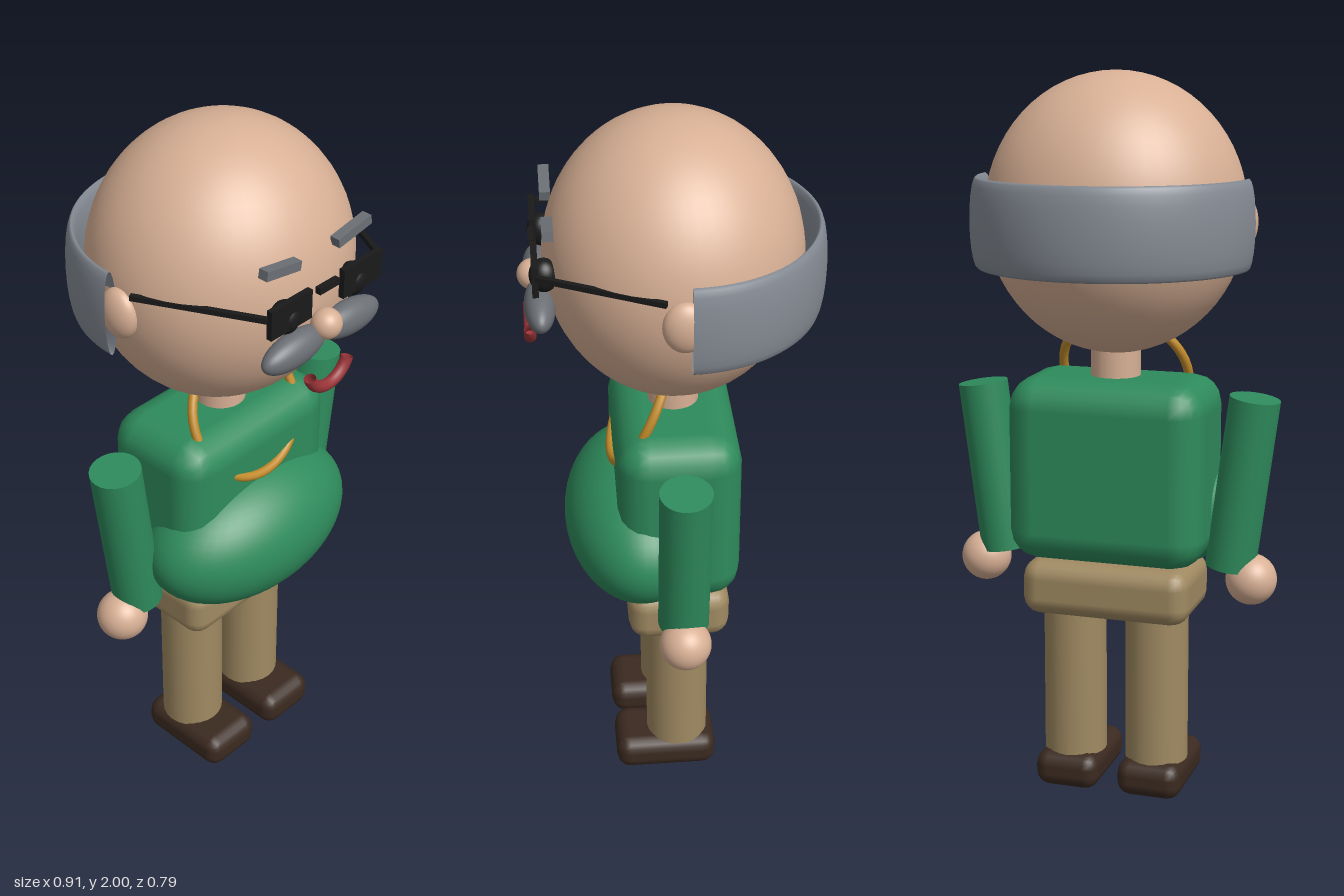
import * as THREE from 'three';
import { RoundedBoxGeometry } from 'three/addons/geometries/RoundedBoxGeometry.js';

const paint = (name, color, side = THREE.FrontSide) => {
  const m = new THREE.MeshStandardMaterial({ color, side });
  m.name = name;
  return m;
};

export function createModel() {
  const model = new THREE.Group();
  model.name = 'groundkeeperFigure';

  const skin = paint('skin', 0xd8b095);
  const green = paint('greenShirt', 0x2e8b5c);
  const khaki = paint('khakiTrousers', 0xa08a62);
  const brown = paint('brownShoes', 0x3b2a20);
  const hairGrey = paint('greyHair', 0x868c95, THREE.DoubleSide);
  const darkGrey = paint('darkGreyHair', 0x6b6f74);
  const black = paint('blackGlasses', 0x1a1a1a);
  const red = paint('redMouth', 0x9a3438, THREE.DoubleSide);
  const gold = paint('goldChain', 0xc08a2a);

  const add = (name, geometry, material, x, y, z, rotZ = 0) => {
    const mesh = new THREE.Mesh(geometry, material);
    mesh.name = name;
    mesh.position.set(x, y, z);
    mesh.rotation.z = rotZ;
    model.add(mesh);
    return mesh;
  };
  const ellipsoid = (rx, ry, rz) => new THREE.SphereGeometry(1, 48, 32).scale(rx, ry, rz);
  const box = (w, h, d) => new THREE.BoxGeometry(w, h, d);
  const rounded = (w, h, d, r) => new RoundedBoxGeometry(w, h, d, 2, r);
  const Z = -0.006;

  // Head, nose and neck
  add('head', ellipsoid(0.352, 0.373, 0.335), skin, 0, 1.627, Z);
  add('nose', ellipsoid(0.04, 0.04, 0.04), skin, 0, 1.58, 0.353);
  add('neck', new THREE.CylinderGeometry(0.068, 0.068, 0.16, 24), skin, 0, 1.24, Z);

  // Band of hair around the back of the head
  const hair = new THREE.TorusGeometry(0.365, 0.02, 20, 64, Math.PI);
  hair.rotateX(-Math.PI / 2).scale(1, 6, 0.975);
  add('hairBand', hair, hairGrey, 0, 1.607, -0.022);

  // Smiling mouth
  const smile = 2.5;
  const mouth = new THREE.TorusGeometry(0.073, 0.016, 12, 32, smile);
  mouth.rotateZ(-Math.PI / 2 - smile / 2);
  add('mouth', mouth, red, 0, 1.48, 0.366);

  // Torso, belly and hips
  add('torso', rounded(0.55, 0.51, 0.33, 0.085), green, 0, 0.935, Z);
  add('belly', ellipsoid(0.335, 0.201, 0.205), green, 0, 0.815, 0.092);
  add('hips', rounded(0.475, 0.155, 0.28, 0.05), khaki, 0, 0.6, Z);

  // Chain hanging round the neck, tilted forward
  const chain = add('neckChain', new THREE.TorusGeometry(0.18, 0.013, 12, 48), gold, 0, 1.185, 0.085);
  chain.rotation.x = -0.46;

  // Bridge of the glasses
  add('glassesBridge', box(0.07, 0.018, 0.016), black, 0, 1.688, 0.352);

  // Mirrored parts
  for (const [side, s] of [['left', 1], ['right', -1]]) {
    add(side + 'Ear', ellipsoid(0.036, 0.068, 0.057), skin, s * 0.35, 1.612, Z);
    add(side + 'Eyebrow', box(0.12, 0.025, 0.028), darkGrey, s * 0.127, 1.772, 0.312, s * 0.17);
    add(side + 'Eye', ellipsoid(0.037, 0.044, 0.037), black, s * 0.121, 1.643, 0.325);
    add(side + 'Lens', box(0.143, 0.08, 0.016), black, s * 0.129, 1.664, 0.347);
    add(side + 'Moustache', ellipsoid(0.108, 0.046, 0.04), darkGrey, s * 0.1, 1.545, 0.338, s * -0.06);

    // Temple running from the lens back to the ear
    const temple = add(side + 'Temple', box(0.014, 0.014, 0.34), black, s * 0.28, 1.68, 0.192);
    temple.rotation.y = -s * 0.465;

    // Arm and hand
    add(side + 'Arm', new THREE.CylinderGeometry(0.069, 0.069, 0.475, 24), green, s * 0.358, 0.912, Z, s * -0.129);
    add(side + 'Hand', ellipsoid(0.07, 0.07, 0.07), skin, s * 0.386, 0.645, Z);

    // Leg and shoe
    add(side + 'Leg', new THREE.CylinderGeometry(0.088, 0.088, 0.46, 24), khaki, s * 0.12, 0.33, Z);
    add(side + 'Shoe', rounded(0.185, 0.102, 0.29, 0.04), brown, s * 0.12, 0.056, 0.03);
  }

  // Stand the figure exactly on the ground
  model.position.y = -0.005;
  return model;
}
